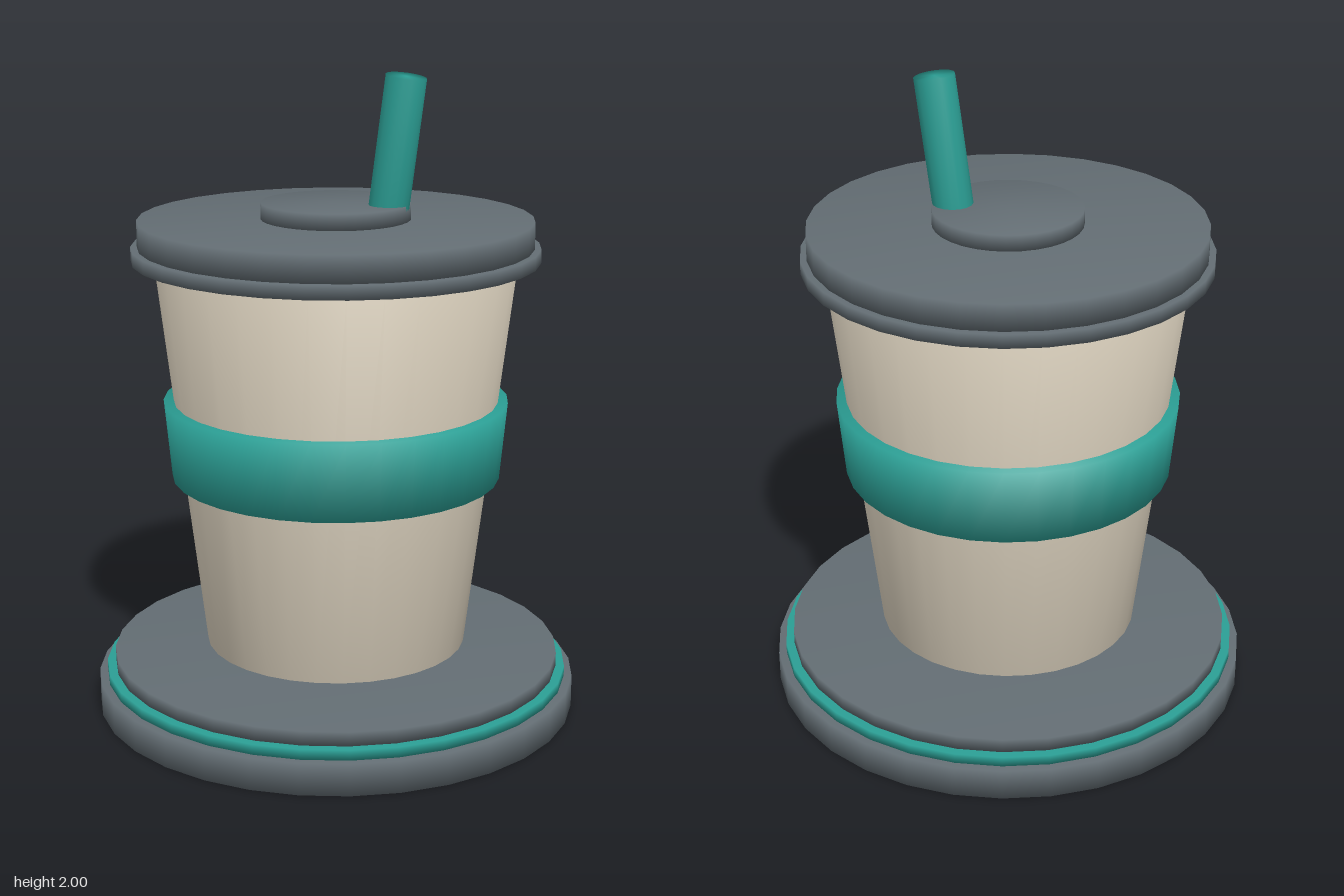
import * as THREE from 'three';
import { mergeVertices } from 'three/addons/utils/BufferGeometryUtils.js';

const material = (name, color) => {
  const m = new THREE.MeshStandardMaterial({ color });
  m.name = name;
  return m;
};

// Closed round part from y0 to y1, with normals shared across its rims
function roundPart(name, mat, rBottom, rTop, y0, y1, sides = 32) {
  let geo = new THREE.CylinderGeometry(rTop, rBottom, y1 - y0, sides);
  geo.deleteAttribute('uv');
  geo.deleteAttribute('normal');
  geo = mergeVertices(geo);
  geo.computeVertexNormals();
  const mesh = new THREE.Mesh(geo, mat);
  mesh.name = name;
  mesh.position.y = (y0 + y1) / 2;
  return mesh;
}

export function createModel() {
  const slate = material('slate grey', 0x636d73);
  const teal = material('teal', 0x2b9e94);
  const cream = material('cream', 0xd6ccb9);

  const model = new THREE.Group();
  model.name = 'lidded cup on stand';

  // Stepped stand, with a small gap below the cup
  model.add(
    roundPart('standBase', slate, 0.758, 0.758, 0, 0.1),
    roundPart('standBand', teal, 0.733, 0.733, 0.1, 0.132),
    roundPart('standTop', slate, 0.706, 0.706, 0.132, 0.176),
  );

  // Tapered cup and its sleeve
  model.add(
    roundPart('cup', cream, 0.41, 0.558, 0.202, 1.432),
    roundPart('sleeve', teal, 0.513, 0.536, 0.746, 0.99),
  );

  // Lid
  model.add(
    roundPart('lidRim', slate, 0.627, 0.627, 1.43, 1.472),
    roundPart('lid', slate, 0.607, 0.607, 1.472, 1.554),
    roundPart('lidKnob', slate, 0.23, 0.23, 1.554, 1.604),
  );

  // Leaning straw, its foot sunk into the knob
  const foot = new THREE.Vector3(0.138, 1.56, 0.088);
  const tip = new THREE.Vector3(0.181, 1.992, 0.133);
  const axis = tip.clone().sub(foot);
  const straw = roundPart('straw', teal, 0.062, 0.062, 0, axis.length(), 16);
  straw.position.copy(foot).lerp(tip, 0.5);
  straw.quaternion.setFromUnitVectors(new THREE.Vector3(0, 1, 0), axis.normalize());
  model.add(straw);

  return model;
}
